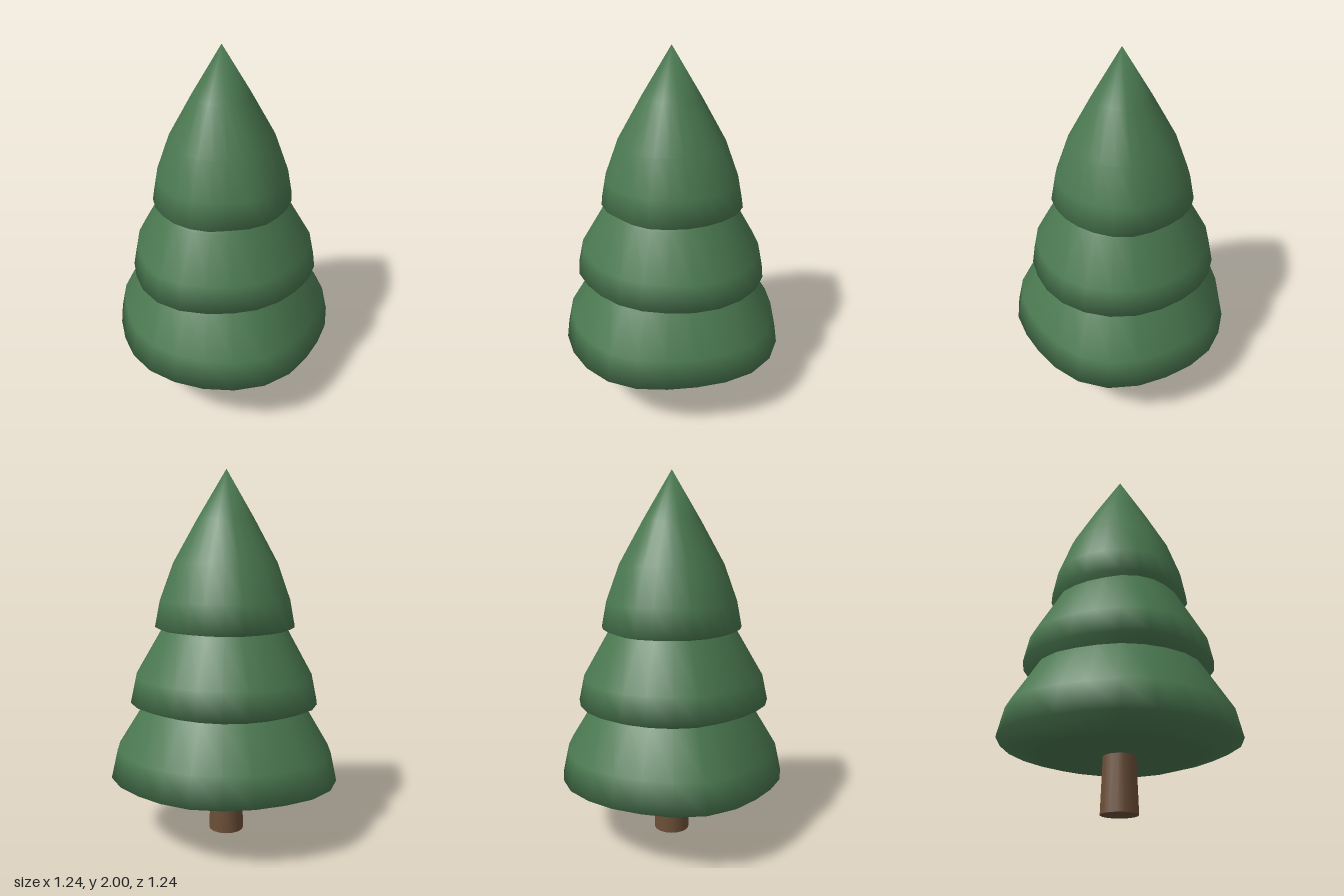
import * as THREE from 'three';
import { mergeVertices } from 'three/addons/utils/BufferGeometryUtils.js';

const SIDES = 24;

// Rim radius of each tier in thousandths, every 15 degrees from +x towards +z
const tiers = [
  {
    name: 'lowerFoliage',
    rim: [638, 615, 599, 603, 624, 636, 632, 625, 621, 620, 611, 599,
      602, 623, 638, 631, 612, 609, 610, 617, 613, 614, 630, 644],
    profile: [[0.71, 0.29], [1, 0.345], [0.945, 0.5], [0.715, 0.735], [0.55, 0.87], [0, 0.95]],
  },
  {
    name: 'middleFoliage',
    rim: [530, 525, 514, 505, 507, 509, 508, 514, 529, 533, 520, 504,
      500, 508, 523, 521, 517, 517, 515, 513, 509, 514, 525, 531],
    profile: [[0.71, 0.7], [1, 0.76], [0.943, 0.9], [0.68, 1.14], [0.5, 1.28], [0, 1.36]],
  },
  {
    name: 'upperFoliage',
    rim: [383, 376, 373, 373, 380, 375, 368, 381, 384, 382, 375, 375,
      373, 379, 386, 384, 384, 389, 388, 381, 377, 382, 395, 393],
    profile: [[0.71, 1.125], [1, 1.17], [0.93, 1.31], [0.74, 1.51], [0.405, 1.74], [0, 2]],
  },
];

// Revolve a unit profile, then stretch each spoke to its rim radius
function unevenLathe(profile, rim) {
  const geo = new THREE.LatheGeometry(profile.map(([r, y]) => new THREE.Vector2(r, y)), SIDES);
  geo.deleteAttribute('normal');
  geo.deleteAttribute('uv');
  const pos = geo.attributes.position;
  for (let i = 0; i < pos.count; i++) {
    const x = pos.getX(i), z = pos.getZ(i);
    const spoke = Math.round(Math.atan2(z, x) / (2 * Math.PI) * SIDES);
    const r = rim[(spoke + SIDES) % SIDES] / 1000;
    pos.setX(i, x * r);
    pos.setZ(i, z * r);
  }
  const merged = mergeVertices(geo, 1e-4);
  merged.computeVertexNormals();
  return merged;
}

export function createModel() {
  const model = new THREE.Group();
  model.name = 'pineTree';
  const needles = new THREE.MeshStandardMaterial({ color: 0x4a7850 });
  needles.name = 'needleGreen';
  const bark = new THREE.MeshStandardMaterial({ color: 0x6b4e37 });
  bark.name = 'barkBrown';

  const add = (name, geo, mat) => {
    const mesh = new THREE.Mesh(geo, mat);
    mesh.name = name;
    mesh.position.set(-0.018, 0, -0.015);
    model.add(mesh);
    return mesh;
  };

  // Foliage tiers, each closed by a flat underside
  for (const { name, rim, profile } of tiers) {
    add(name, unevenLathe(profile, rim), needles);
    const [r, y] = profile[0];
    add(name + 'Underside', unevenLathe([[0, y], [r, y]], rim), needles);
  }

  // Tapered trunk
  const trunk = add('trunk', new THREE.CylinderGeometry(0.082, 0.098, 0.4, 16), bark);
  trunk.position.y = 0.2;
  return model;
}
